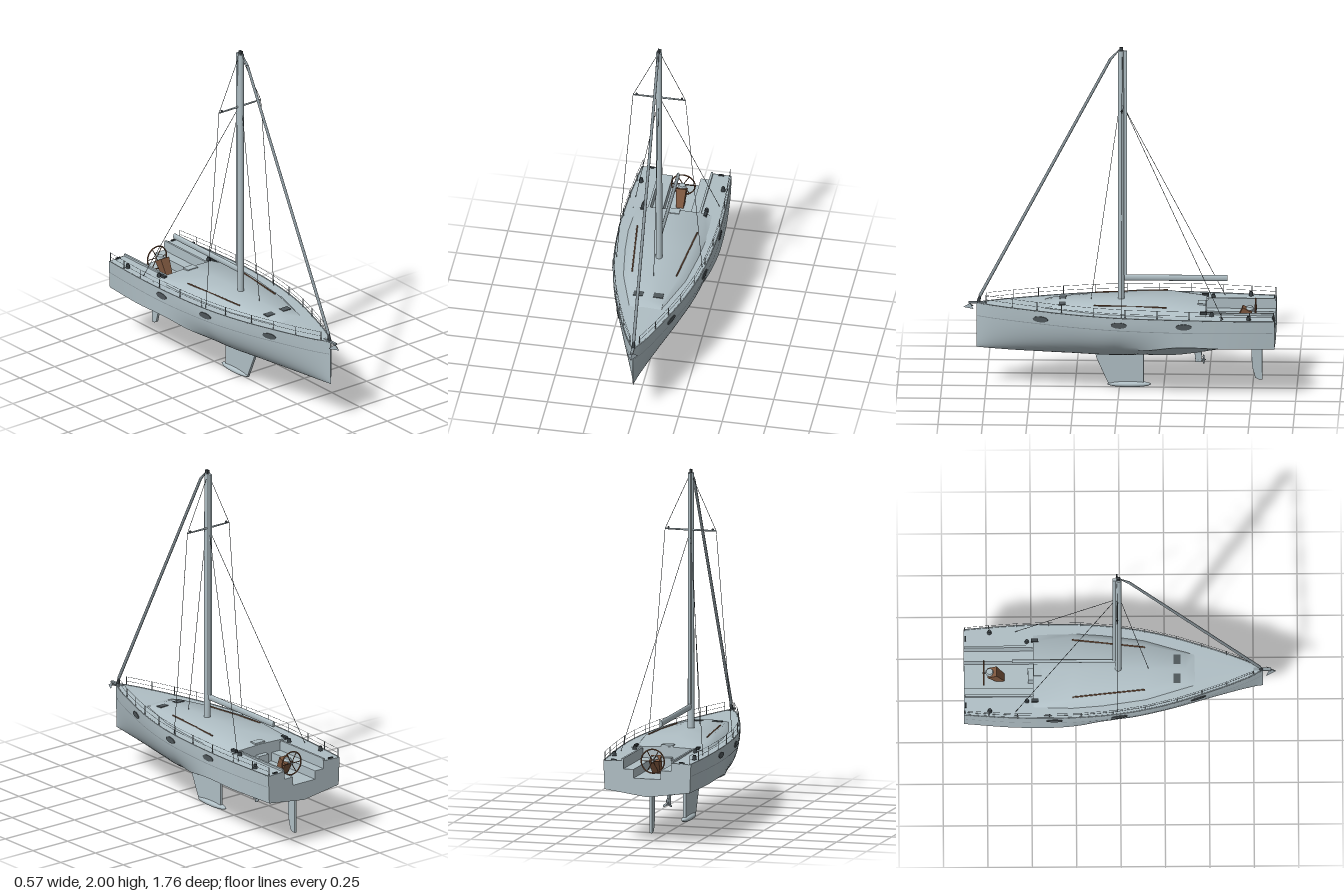
import * as THREE from 'three';
import { toCreasedNormals } from 'three/addons/utils/BufferGeometryUtils.js';

const paint = (name, color, side = THREE.FrontSide) => {
  const m = new THREE.MeshStandardMaterial({ color, side });
  m.name = name;
  return m;
};
const V = (x, y, z) => new THREE.Vector3(x, y, z);

// Hull stations: z, half beam, sheer y, chine x, chine y, keel y, roundness
const STATIONS = [
  [-0.88, 0.257, 0.467, 0.25, 0.305, 0.27, 0],
  [-0.6, 0.277, 0.472, 0.275, 0.31, 0.232, 0],
  [-0.3, 0.282, 0.478, 0.282, 0.313, 0.19, 0.1],
  [0, 0.26, 0.48, 0.27, 0.225, 0.198, 1],
  [0.26, 0.209, 0.483, 0.205, 0.22, 0.205, 1],
  [0.54, 0.12, 0.486, 0.11, 0.225, 0.212, 1],
  [0.72, 0.05, 0.488, 0.043, 0.23, 0.222, 1],
  [0.805, 0.004, 0.49, 0.004, 0.24, 0.23, 1],
];

// Smooth interpolation of all station columns at z
function station(z) {
  const S = STATIONS, n = S.length;
  let i = 0;
  while (i < n - 2 && z > S[i + 1][0]) i++;
  const h = S[i + 1][0] - S[i][0], t = (z - S[i][0]) / h;
  const slope = (k, c) => {
    const a = S[Math.max(k - 1, 0)], b = S[Math.min(k + 1, n - 1)];
    return (b[c] - a[c]) / (b[0] - a[0]);
  };
  const row = S[i].map((_, c) => {
    const t2 = t * t, t3 = t2 * t;
    return (2 * t3 - 3 * t2 + 1) * S[i][c] + (t3 - 2 * t2 + t) * h * slope(i, c)
      + (3 * t2 - 2 * t3) * S[i + 1][c] + (t3 - t2) * h * slope(i + 1, c);
  });
  row[6] = THREE.MathUtils.clamp(row[6], 0, 1);
  return row;
}

// Point on the left half section, t = 0 at the sheer and 1 at the keel
function hullPoint(z, t) {
  const [, b, sy, cx, cy, ky, r] = station(z);
  const mix = (s, c, k) => {
    const hard = t < 0.5 ? s + (c - s) * 2 * t : c + (k - c) * (2 * t - 1);
    const soft = s * (1 - t) ** 2 + 2 * c * t * (1 - t) + k * t * t;
    return hard + (soft - hard) * r;
  };
  return V(mix(b, cx, 0), mix(sy, cy, ky), z);
}

function hullX(z, y) {
  let a = 0, b = 1;
  for (let i = 0; i < 20; i++) {
    const m = (a + b) / 2;
    if (hullPoint(z, m).y > y) a = m; else b = m;
  }
  return hullPoint(z, a).x;
}

// Surface through rows of points
function loft(rows, crease = 0.6) {
  const w = rows[0].length, pos = rows.flat().flatMap((p) => [p.x, p.y, p.z]), idx = [];
  for (let r = 0; r < rows.length - 1; r++)
    for (let c = 0; c < w - 1; c++) {
      const a = r * w + c, d = a + w;
      idx.push(a, a + 1, d, a + 1, d + 1, d);
    }
  const g = new THREE.BufferGeometry();
  g.setAttribute('position', new THREE.Float32BufferAttribute(pos, 3));
  g.setIndex(idx);
  g.computeVertexNormals();
  return toCreasedNormals(g, crease);
}

const range = (a, b, n) => Array.from({ length: n + 1 }, (_, i) => a + ((b - a) * i) / n);

export function createModel() {
  const boat = new THREE.Group();
  boat.name = 'sailboat';
  const shell = paint('pale blue grey', 0xb0bfc5, THREE.DoubleSide);
  const metal = paint('fitting grey', 0x8d999f, THREE.DoubleSide);
  const glass = paint('smoked glass', 0x50585c);
  const dark = paint('dark fittings', 0x3a4145);
  const wood = paint('brown wood', 0x7f583f);

  const add = (name, geo, mat, x = 0, y = 0, z = 0) => {
    const m = new THREE.Mesh(geo, mat);
    m.name = name;
    m.position.set(x, y, z);
    boat.add(m);
    return m;
  };
  const box = (name, mat, w, h, d, x, y, z) => add(name, new THREE.BoxGeometry(w, h, d), mat, x, y, z);
  const rod = (name, mat, a, b, r, r2 = r, sides = 8) => {
    const dir = b.clone().sub(a), mid = a.clone().add(b).multiplyScalar(0.5);
    const m = add(name, new THREE.CylinderGeometry(r2, r, dir.length(), sides), mat, mid.x, mid.y, mid.z);
    m.quaternion.setFromUnitVectors(V(0, 1, 0), dir.normalize());
    return m;
  };

  // Hull skin
  const ts = range(0, 1, 16);
  add('hull', loft(range(-0.88, 0.805, 56).map((z) => [
    ...ts.map((t) => hullPoint(z, t)),
    ...ts.slice(0, -1).reverse().map((t) => hullPoint(z, t).multiply(V(-1, 1, 1))),
  ])), shell);

  // Decks around the cockpit
  const deckRow = (z) => {
    const [, b, y] = station(z);
    return [V(-b, y, z), V(0, y + 0.005, z), V(b, y, z)];
  };
  add('foredeck', loft(range(-0.49, 0.805, 40).map(deckRow)), shell);
  for (const s of [-1, 1])
    add('aftDeck', loft(range(-0.88, -0.49, 10).map((z) => {
      const [, b, y] = station(z);
      return [V(s * 0.14, y + 0.003, z), V(s * b, y, z)];
    })), shell);

  // Cockpit well, bulkhead and open transom share one profile
  const well = [[-0.14, 0.472], [-0.14, 0.425], [-0.08, 0.425], [-0.08, 0.375],
    [0.08, 0.375], [0.08, 0.425], [0.14, 0.425], [0.14, 0.472]];
  add('cockpitWell', loft([-0.88, -0.49].map((z) => well.map(([x, y]) => V(x, y, z)))), shell);
  add('bulkhead', new THREE.PlaneGeometry(0.28, 0.11), shell, 0, 0.43, -0.49);
  const outline = [[0.257, 0.467], [0.25, 0.305], [0, 0.27], [-0.25, 0.305], [-0.257, 0.467], ...well];
  add('transom', new THREE.ShapeGeometry(new THREE.Shape(outline.map(([x, y]) => new THREE.Vector2(x, y)))), shell, 0, 0, -0.88);
  box('companionwayStep', shell, 0.07, 0.06, 0.03, 0, 0.405, -0.505);
  box('companionwayHatch', shell, 0.07, 0.01, 0.045, 0, 0.499, -0.465);

  // Cabin trunk: z, base half width, roof half width, roof y
  const cabin = [[0.42, 0.096, 0.093, 0.486], [0.37, 0.115, 0.093, 0.5], [0.14, 0.182, 0.142, 0.512],
    [-0.1, 0.213, 0.172, 0.52], [-0.27, 0.225, 0.188, 0.516], [-0.49, 0.215, 0.175, 0.488]];
  add('cabin', loft(cabin.map(([z, b, t, y]) =>
    [V(-b, 0.478, z), V(-t, y, z), V(0, y + 0.006, z), V(t, y, z), V(b, 0.478, z)]), 0.8), shell);
  add('cabinBack', loft([[V(-0.215, 0.478, -0.49), V(0, 0.478, -0.49), V(0.215, 0.478, -0.49)],
    [V(-0.175, 0.488, -0.49), V(0, 0.494, -0.49), V(0.175, 0.488, -0.49)]]), shell);

  // Fittings mirrored on both sides
  const stripeZ = range(-0.87, 0.8, 50);
  for (const s of [-1, 1]) {
    const on = (z, y, out = 0) => V(s * (hullX(z, y) + out), y, z);
    add('hullStripe', loft(stripeZ.map((z) => {
      const y = 0.408 + z * 0.009;
      return [on(z, y + 0.002, 0.0015), on(z, y - 0.002, 0.0015)];
    })), metal);
    const sheer = stripeZ.map((z) => V(s * (station(z)[1] - 0.002), station(z)[2] + 0.001, z));
    add('toeRail', new THREE.TubeGeometry(new THREE.CatmullRomCurve3(sheer), 60, 0.003, 6), shell);

    for (const z of [0.44, -0.005, -0.37]) {
      const p = on(z, 0.44), dx = (hullX(z + 0.03, 0.44) - hullX(z - 0.03, 0.44)) / 0.06;
      const dy = (hullX(z, 0.45) - hullX(z, 0.43)) / 0.02;
      const port = new THREE.CylinderGeometry(1, 1, 1, 24).rotateX(Math.PI / 2).scale(0.045, 0.017, 0.008);
      const m = add('porthole', port, glass, p.x, p.y, p.z);
      m.lookAt(p.clone().add(V(s, -dy, -dx)));
    }

    // Stanchions and lifelines
    const posts = [-0.875, -0.74, -0.58, -0.4, -0.22, -0.04, 0.14, 0.32, 0.46, 0.6, 0.75].map((z) =>
      V(s * Math.max(station(z)[1] - 0.008, 0.012), station(z)[2], z));
    posts.forEach((p, i) => {
      rod('stanchion', metal, p, p.clone().add(V(0, 0.052, 0)), 0.0022, 0.0022, 6);
      if (i) for (const h of [0.026, 0.051])
        rod('lifeline', metal, posts[i - 1].clone().add(V(0, h, 0)), p.clone().add(V(0, h, 0)), 0.001, 0.001, 5);
    });

    // Winches, cleats, hatches, grab rails, coamings
    for (const [x, z] of [[0.235, -0.735], [0.178, -0.525]])
      add('winch', new THREE.CylinderGeometry(0.009, 0.013, 0.026, 14), dark, s * x, 0.484, z);
    box('lineClutch', dark, 0.018, 0.015, 0.04, s * 0.18, 0.492, -0.48);
    box('sternCleat', dark, 0.03, 0.008, 0.008, s * 0.2, 0.474, -0.87);
    const hatch = box('deckHatch', glass, 0.056, 0.006, 0.038, s * 0.057, 0.506, 0.32);
    hatch.rotation.x = 0.06;
    rod('grabRail', wood, V(s * 0.172, 0.521, -0.27), V(s * 0.127, 0.517, 0.14), 0.004);
    box('coaming', shell, 0.012, 0.012, 0.38, s * 0.146, 0.478, -0.685);

    // Standing rigging
    const tip = V(s * 0.15, 1.655, -0.018);
    rod('spreader', shell, V(0, 1.655, -0.018), tip, 0.006, 0.004);
    add('spreaderEnd', new THREE.SphereGeometry(0.007, 8, 6), dark, s * 0.13, 1.662, -0.018);
    for (const [a, b] of [[V(0, 1.98, -0.018), tip], [tip, V(s * 0.245, 0.48, -0.018)],
      [V(0, 1.65, -0.025), V(s * 0.24, 0.472, -0.59)]])
      rod('shroud', dark, a, b, 0.0015, 0.0015, 5);
  }
  rod('innerForestay', dark, V(0, 1.65, 0), V(0, 0.51, 0.16), 0.0015, 0.0015, 5);

  // Mast, sail track, boom and furled headsail
  rod('mast', shell, V(0, 0.5, -0.01), V(0, 1.98, -0.01), 0.019, 0.017, 16);
  box('mastTrack', shell, 0.016, 1.32, 0.018, 0, 1.32, -0.034);
  box('mastHead', dark, 0.014, 0.03, 0.02, 0, 1.985, -0.01);
  const boom = rod('boom', shell, V(0, 0.645, -0.03), V(0, 0.645, -0.61), 0.018, 0.018, 16);
  boom.scale.x = 0.5;
  rod('furledHeadsail', metal, V(0, 0.53, 0.785), V(0, 1.93, 0.05), 0.009, 0.008, 10);
  rod('forestayTop', metal, V(0, 1.93, 0.05), V(0, 1.985, 0), 0.008, 0.003, 10);
  rod('furlerDrum', dark, V(0, 0.487, 0.795), V(0, 0.53, 0.785), 0.011, 0.007, 12);

  // Anchor on the bow
  add('anchorFluke', loft([[V(-0.03, 0.46, 0.82), V(0, 0.485, 0.84), V(0.03, 0.46, 0.82)],
    [V(0, 0.463, 0.88), V(0, 0.463, 0.88), V(0, 0.463, 0.88)]], 0.3), metal);
  box('bowRoller', metal, 0.016, 0.01, 0.1, 0, 0.49, 0.8);

  // Keel fin and rudder as thin extruded profiles in the z-y plane
  const blade = (name, pts, w) => {
    const shape = new THREE.Shape(pts.map(([z, y]) => new THREE.Vector2(-z, y)));
    const g = new THREE.ExtrudeGeometry(shape, { depth: w - 0.006, bevelThickness: 0.003, bevelSize: 0.003, bevelSegments: 2 });
    g.translate(0, 0, -(w - 0.006) / 2).rotateY(Math.PI / 2);
    add(name, g, shell);
  };
  blade('keelFin', [[0.137, 0.215], [0.125, 0.17], [0.07, 0.045], [0.06, 0.025], [-0.135, 0.025], [-0.135, 0.215]], 0.018);
  blade('rudder', [[-0.745, 0.27], [-0.75, 0.13], [-0.768, 0.065], [-0.785, 0.055], [-0.803, 0.055], [-0.803, 0.28]], 0.016);
  add('keelBulb', new THREE.SphereGeometry(1, 28, 16).scale(0.025, 0.018, 0.123), shell, 0, 0.018, -0.055);

  // Drive leg and propeller
  blade('driveLeg', [[-0.425, 0.22], [-0.432, 0.155], [-0.46, 0.155], [-0.462, 0.22]], 0.014);
  rod('propellerHub', metal, V(0, 0.165, -0.44), V(0, 0.165, -0.487), 0.008, 0.004, 10);
  for (let i = 0; i < 3; i++) {
    const g = new THREE.SphereGeometry(1, 10, 8).scale(0.009, 0.015, 0.003).rotateY(0.6).translate(0, 0.016, 0);
    add('propellerBlade', g, metal, 0, 0.165, -0.475).rotation.z = (i * Math.PI * 2) / 3;
  }

  // Leaning steering pedestal, wider at the top, and wheel
  const post = new THREE.CylinderGeometry(0.042, 0.03, 0.11, 4).rotateY(Math.PI / 4).toNonIndexed();
  post.computeVertexNormals();
  add('pedestal', post, wood, 0, 0.418, -0.695).rotation.x = -0.5;
  add('compass', new THREE.CylinderGeometry(0.018, 0.024, 0.016, 14), shell, 0, 0.472, -0.735);
  const hub = V(0, 0.457, -0.768);
  rod('wheelShaft', metal, V(0, 0.457, -0.71), V(0, 0.457, -0.775), 0.006);
  add('wheelRim', new THREE.TorusGeometry(0.068, 0.004, 8, 32), wood, hub.x, hub.y, hub.z);
  for (let i = 0; i < 6; i++) {
    const a = (i * Math.PI) / 3;
    rod('wheelSpoke', wood, hub, hub.clone().add(V(Math.cos(a) * 0.068, Math.sin(a) * 0.068, 0)), 0.0025, 0.0025, 6);
  }
  return boat;
}
